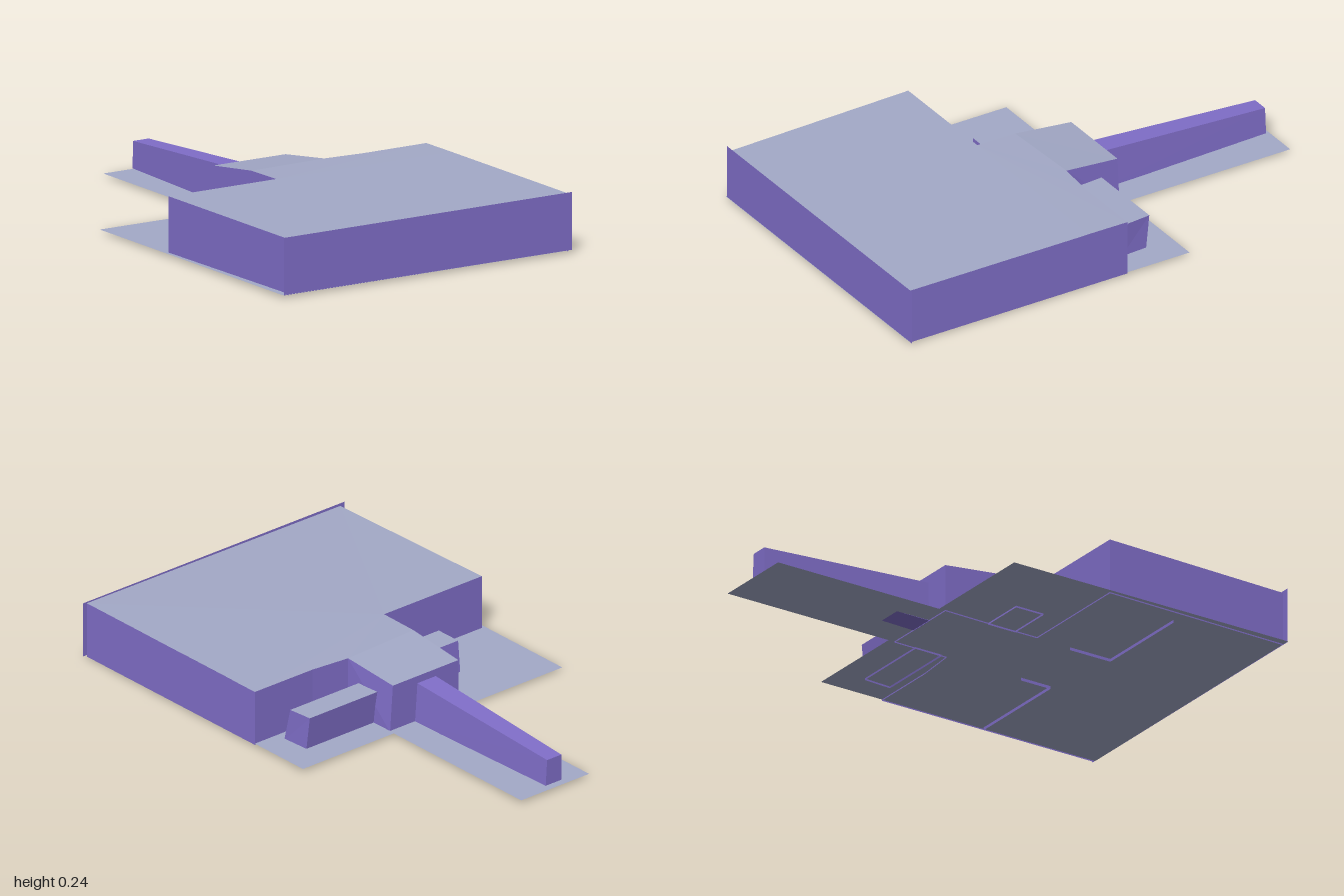
import * as THREE from 'three';

const purple = new THREE.MeshStandardMaterial({ color: 0x806ec9, side: THREE.DoubleSide });
purple.name = 'wall purple';
const grey = new THREE.MeshStandardMaterial({ color: 0xa3a9c7, side: THREE.DoubleSide });
grey.name = 'roof grey';

// Flat-shaded mesh from convex polygons of [x, y, z] corners
function faces(name, material, polygons) {
  const pos = [];
  for (const p of polygons)
    for (let i = 1; i < p.length - 1; i++) pos.push(...p[0], ...p[i], ...p[i + 1]);
  const g = new THREE.BufferGeometry();
  g.setAttribute('position', new THREE.Float32BufferAttribute(pos, 3));
  g.computeVertexNormals();
  const mesh = new THREE.Mesh(g, material);
  mesh.name = name;
  return mesh;
}

// Quads joining a lower ring or path to an upper one
function sides(lower, upper, closed) {
  const out = [];
  const n = lower.length;
  for (let i = 0; i < (closed ? n : n - 1); i++) {
    const j = (i + 1) % n;
    out.push([lower[i], lower[j], upper[j], upper[i]]);
  }
  return out;
}

// Annex: sloped walls with a flat grey roof
function annex(name, base, top, height) {
  const group = new THREE.Group();
  group.name = name;
  const lower = base.map(([x, z]) => [x, 0.005, z]);
  const upper = top.map(([x, z]) => [x, height, z]);
  group.add(faces(name + 'Walls', purple, sides(lower, upper, true)));
  group.add(faces(name + 'Roof', grey, [upper]));
  return group;
}

export function createModel() {
  const model = new THREE.Group();
  const B = 0.012; // ground plate level

  // Ground plate: wide court and narrow rear strip
  const rect = (x0, x1, z0, z1) => [[x0, B, z1], [x1, B, z1], [x1, B, z0], [x0, B, z0]];
  model.add(faces('groundPlate', grey, [
    rect(-0.66, 0.64, -0.26, 1),
    rect(-0.155, 0.185, -1, -0.26),
  ]));

  // Main hall outline: front left, round the back, to front right
  const outline = [
    [-0.63, 0.226, 0.995], [-0.645, 0.232, 0.19], [-0.155, 0.233, 0.19],
    [-0.155, 0.231, 0.02], [-0.16, 0.2, -0.235], [0.168, 0.2, -0.235],
    [0.185, 0.23, 0.005], [0.35, 0.231, 0.02], [0.64, 0.232, 0.02], [0.64, 0.234, 0.995],
  ];
  const feet = outline.map(([x, , z]) => [x === 0.168 ? 0.182 : x, 0.007, z]);
  model.add(faces('hallWalls', purple, sides(feet, outline, false)));

  // Front wall runs a little past both corners
  model.add(faces('frontWall', purple, [
    [[-0.655, 0.01, 0.998], [0.657, 0.012, 0.998], [0.657, 0.238, 0.998], [-0.655, 0.235, 0.998]],
  ]));

  // Roof: hall, step back and sloping neck
  const [fl, bl, inner, nl, el, er, nr, sr, br, fr] = outline;
  const edge = [0.64, 0.233, 0.19];
  model.add(faces('hallRoof', grey, [
    [inner, bl, fl, fr, edge],
    [inner, edge, br, sr, nr, nl],
    [nl, nr, er, el],
  ]));

  // Tapering rear corridor
  const near = [[-0.05, 0.01, -0.23], [0.057, 0.01, -0.23], [0.045, 0.17, -0.23], [-0.047, 0.17, -0.23]];
  const far = [[-0.035, 0.02, -0.98], [0.045, 0.02, -0.98], [0.038, 0.127, -0.98], [-0.033, 0.127, -0.98]];
  model.add(faces('rearCorridor', purple, [...sides(near, far, true), far]));

  // Side annexes
  model.add(annex('leftAnnex',
    [[0.18, -0.02], [0.527, -0.02], [0.52, -0.14], [0.18, -0.14]],
    [[0.178, -0.055], [0.527, -0.055], [0.517, -0.157], [0.17, -0.157]], 0.147));
  model.add(annex('rightAnnex',
    [[-0.155, 0.09], [-0.343, 0.09], [-0.343, -0.035], [-0.155, -0.035]],
    [[-0.155, 0.09], [-0.343, 0.09], [-0.343, -0.022], [-0.155, -0.022]], 0.14));

  // Inner partitions, whose feet show under the plate
  const paths = [
    [[0.63, 0.48], [0.18, 0.48], [0.18, 0.345]],
    [[-0.575, 0.53], [-0.15, 0.53], [-0.15, 0.345]],
  ];
  for (const path of paths)
    model.add(faces('innerPartition', purple, sides(
      path.map(([x, z]) => [x, 0, z]), path.map(([x, z]) => [x, 0.21, z]), false)));

  return model;
}
